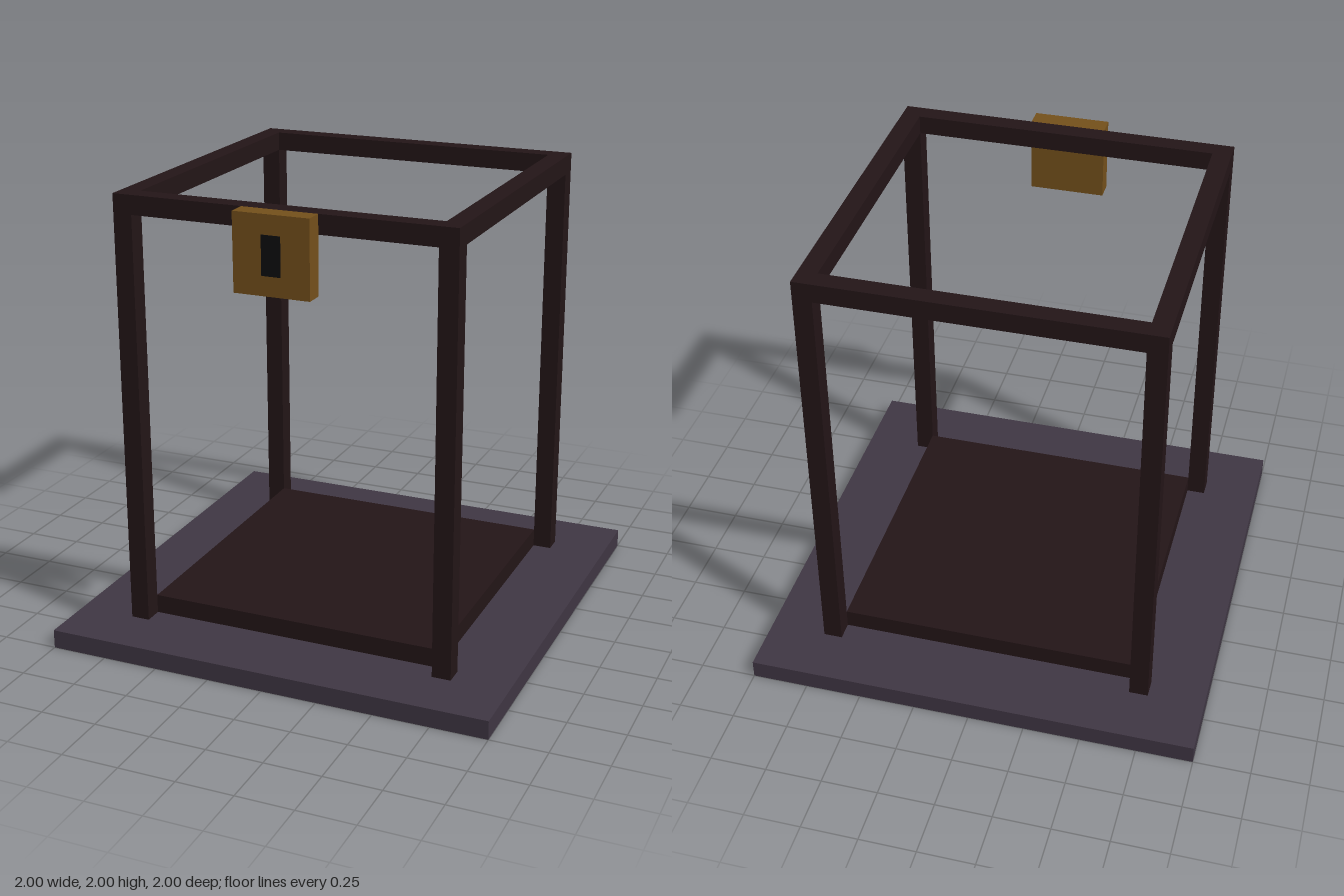
import * as THREE from 'three';

const U = 1 / 12; // one building unit

const material = (color) => new THREE.MeshStandardMaterial({ color });

export function createModel() {
  const model = new THREE.Group();
  model.name = 'displayCase';
  const stone = material(0x3f3643);
  const darkWood = material(0x231517);
  const brass = material(0x74501b);
  const black = material(0x0e0d10);

  // Box with its size and centre given in building units
  function box(name, mat, [w, h, d], [x, y, z]) {
    const mesh = new THREE.Mesh(new THREE.BoxGeometry(w * U, h * U, d * U), mat);
    mesh.position.set(x * U, y * U, z * U);
    mesh.name = name;
    model.add(mesh);
  }

  // Base slab and the floor panel set between the posts
  box('base', stone, [24, 1, 24], [0, 0.5, 0]);
  box('floorPanel', darkWood, [16, 1, 16], [0, 1.5, 0]);

  // Corner posts and top rails
  for (const s of [-1, 1]) {
    for (const t of [-1, 1]) {
      box('cornerPost', darkWood, [1, 23, 1], [s * 8.5, 12.5, t * 8.5]);
    }
    box('sideRail', darkWood, [1, 1, 16], [s * 8.5, 23.5, 0]);
    box(s > 0 ? 'frontRail' : 'backRail', darkWood, [16, 1, 1], [0, 23.5, s * 8.5]);
  }

  // Lock plate on the front rail, with its keyhole
  box('lockPlate', brass, [4, 4, 1], [0, 22, 9.5]);
  box('keyhole', black, [1, 2, 0.06], [0, 22, 10]);

  return model;
}
